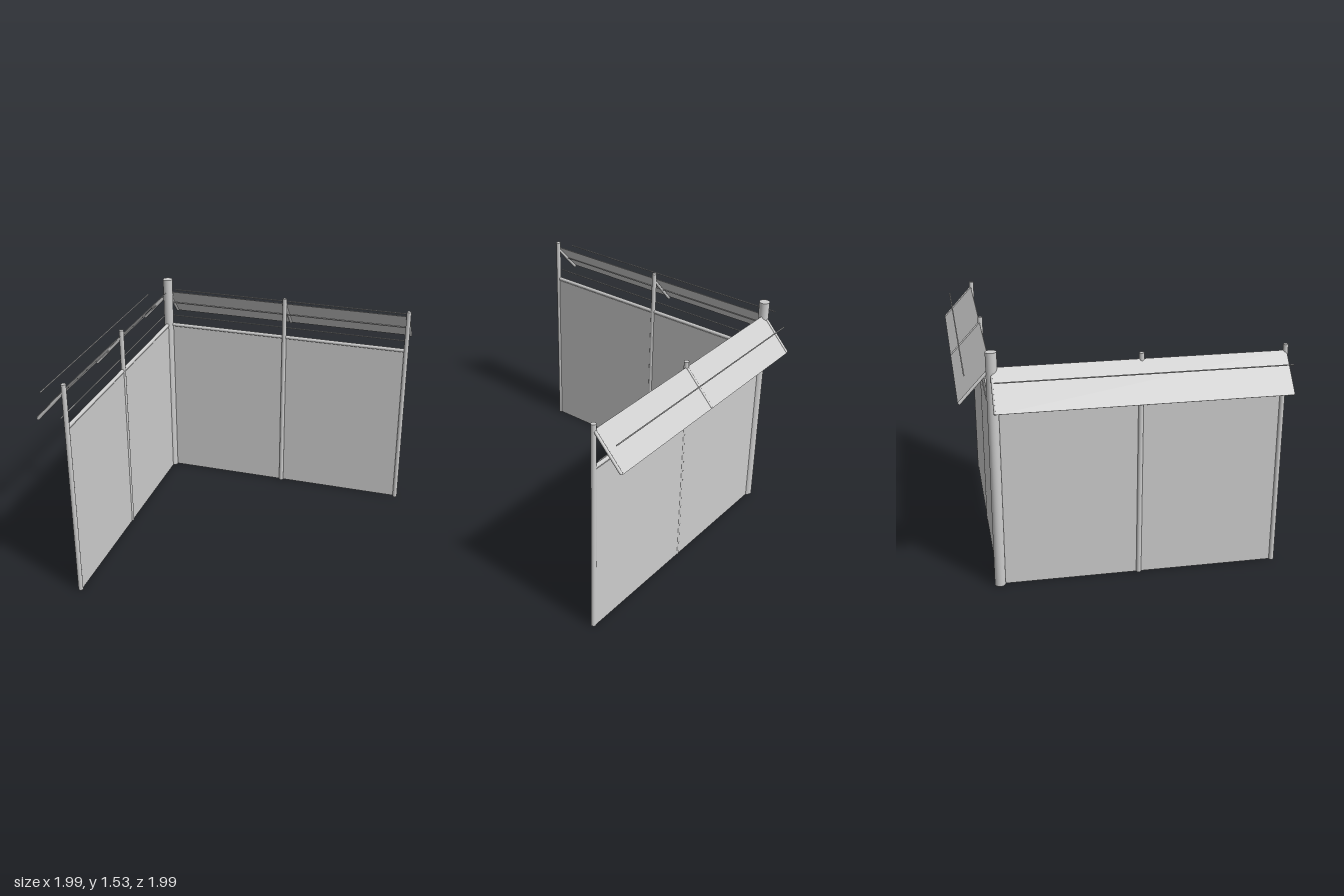
import * as THREE from 'three';

const steel = new THREE.MeshStandardMaterial({ color: 0xcccccc, side: THREE.DoubleSide });
steel.name = 'light grey';

const LENGTH = 1.772;          // corner post to end post
const CORNER = -0.795;

function add(group, name, geometry, x, y, z) {
  const mesh = new THREE.Mesh(geometry, steel);
  mesh.name = name;
  mesh.position.set(x, y, z);
  group.add(mesh);
  return mesh;
}

// Round bar between two points
function bar(group, name, a, b, radius, sides = 12) {
  const from = new THREE.Vector3(...a), to = new THREE.Vector3(...b);
  const dir = to.clone().sub(from);
  const mid = from.clone().add(to).multiplyScalar(0.5);
  const mesh = add(group, name, new THREE.CylinderGeometry(radius, radius, dir.length(), sides), mid.x, mid.y, mid.z);
  mesh.quaternion.setFromUnitVectors(new THREE.Vector3(0, 1, 0), dir.normalize());
  return mesh;
}

// One straight fence run along +x; out is the sign of z on its outer side
function createRun(name, out, panelOffset, bracketDrop) {
  const run = new THREE.Group();
  run.name = name;
  const half = LENGTH / 2;

  // Panels and the rail along their top edge
  for (const i of [0, 1]) {
    add(run, 'panel', new THREE.BoxGeometry(half, 1.175, 0.008), half * (i + 0.5), 0.5875, out * panelOffset);
  }
  bar(run, 'topRail', [0, 1.186, out * 0.002], [LENGTH, 1.186, out * 0.002], 0.013);

  // Slim posts
  for (const x of [half, LENGTH]) {
    bar(run, 'post', [x, 0, 0], [x, 1.477, 0], 0.016, 20);
  }

  // Sloping sheet on three brackets
  const rise = 0.215, reach = 0.198;
  const slope = Math.hypot(rise, reach);
  const sheet = add(run, 'slopingSheet', new THREE.BoxGeometry(LENGTH, slope, 0.003),
    half, 1.44 - rise / 2, out * (0.004 + reach / 2));
  sheet.rotation.x = -out * Math.atan2(reach, rise);
  const dy = -bracketDrop * reach / slope, dz = -bracketDrop * rise / slope;
  for (const x of [0, half, LENGTH]) {
    bar(run, 'bracket', [x, 1.437 + dy, out * (0.005 + dz)], [x, 1.228 + dy, out * (0.197 + dz)], 0.01);
  }

  // Three wires, in a line square to the sheet
  for (const [y, z] of [[1.245, 0.036], [1.322, 0.098], [1.4, 0.159]]) {
    bar(run, 'wire', [0, y, out * z], [LENGTH, y, out * z], 0.004, 8);
  }
  return run;
}

export function createModel() {
  const model = new THREE.Group();
  model.name = 'cornerFence';

  bar(model, 'cornerPost', [CORNER, 0, CORNER], [CORNER, 1.535, CORNER], 0.034, 32);

  const back = createRun('backRun', -1, 0.008, 0);
  back.position.set(CORNER, 0, CORNER);
  const side = createRun('sideRun', 1, -0.004, 0.011);
  side.rotation.y = -Math.PI / 2;
  side.position.set(CORNER, 0, CORNER);
  model.add(back, side);
  return model;
}
